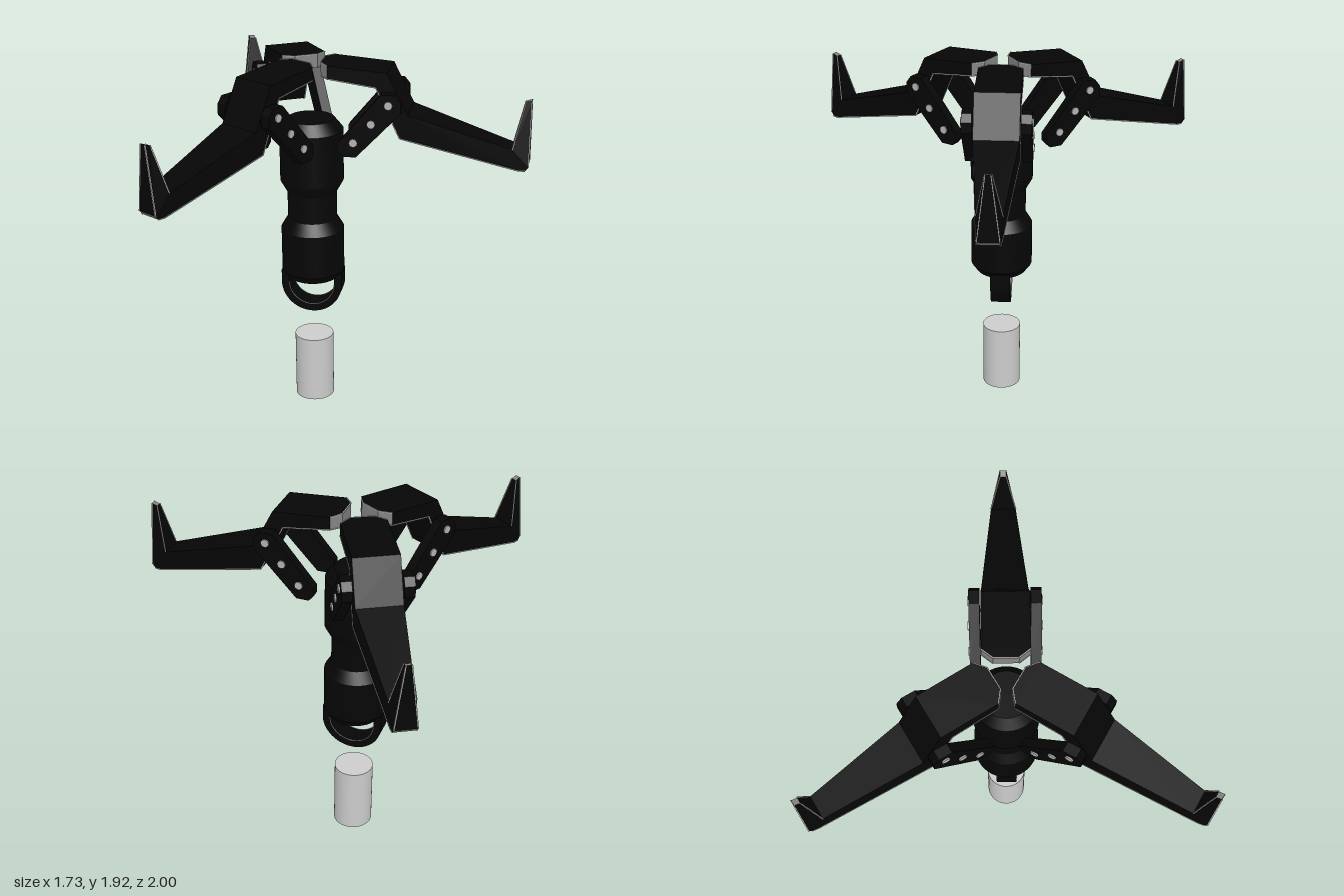
import * as THREE from 'three';
import { mergeGeometries, toCreasedNormals } from 'three/addons/utils/BufferGeometryUtils.js';

const mat = (name, color) => Object.assign(new THREE.MeshStandardMaterial({ color }), { name });

function named(name, geometry, material) {
  const mesh = new THREE.Mesh(geometry, material);
  mesh.name = name;
  return mesh;
}

// Arm stations: top r, top y, bottom r, bottom y, half width at top, half width at bottom
const STATIONS = [
  [0.066, 1.914, 0.066, 1.843, 0.06, 0.06],
  [0.11, 1.911, 0.11, 1.845, 0.115, 0.115],
  [0.41, 1.888, 0.354, 1.812, 0.115, 0.115],
  [0.515, 1.678, 0.475, 1.555, 0.115, 0.115],
  [1.035, 1.514, 1.07, 1.402, 0.063, 0.06],
  [1.035, 1.514, 1.105, 1.402, 0.063, 0.056],
  [1.035, 1.514, 1.12, 1.422, 0.063, 0.055],
  [1.09, 1.748, 1.12, 1.758, 0.016, 0.014],
];
const RINGS = STATIONS.map(([tr, ty, br, by, tw, bw]) => [
  [tr, ty, -tw], [tr, ty, tw], [br, by, bw], [br, by, -bw],
]);

// Four-sided loft; worn faces go to the second material group
function armGeometry() {
  const plain = [], worn = [];
  const quad = (list, a, b, c, d) => list.push(...a, ...b, ...c, ...a, ...c, ...d);
  const last = RINGS.length - 1;
  for (let i = 0; i < last; i++) {
    const a = RINGS[i], b = RINGS[i + 1];
    for (let j = 0; j < 4; j++) {
      const k = (j + 1) % 4;
      const isWorn = (i === 0 && j % 2 === 1) || (i === 5 && j === 2);
      quad(isWorn ? worn : plain, a[j], a[k], b[k], b[j]);
    }
  }
  const s = RINGS[0], e = RINGS[last];
  quad(worn, s[0], s[3], s[2], s[1]);
  quad(worn, e[0], e[1], e[2], e[3]);
  const geo = new THREE.BufferGeometry();
  geo.setAttribute('position', new THREE.Float32BufferAttribute([...plain, ...worn], 3));
  geo.addGroup(0, plain.length / 3, 0);
  geo.addGroup(plain.length / 3, worn.length / 3, 1);
  geo.computeVertexNormals();
  return geo;
}

// Hairline bar along an edge
function edgeBar(a, b) {
  const from = new THREE.Vector3(...a), to = new THREE.Vector3(...b);
  const geo = new THREE.BoxGeometry(0.005, 0.005, from.distanceTo(to));
  const turn = new THREE.Matrix4().lookAt(to, from, new THREE.Vector3(0, 1, 0));
  return geo.applyMatrix4(turn.setPosition(from.add(to).multiplyScalar(0.5)));
}

// Bare edges: inner end outline, lower edges and claw edges
function armEdges() {
  const bars = [];
  for (const j of [0, 1]) {
    const low = 3 - j;
    bars.push(edgeBar(RINGS[0][j], RINGS[1][j]));
    for (let i = 0; i < 5; i++) bars.push(edgeBar(RINGS[i][low], RINGS[i + 1][low]));
    bars.push(edgeBar(RINGS[6][j], RINGS[7][j]), edgeBar(RINGS[6][low], RINGS[7][low]));
  }
  bars.push(edgeBar(RINGS[0][0], RINGS[0][1]));
  return mergeGeometries(bars);
}

function extrude(shape, depth) {
  const geo = new THREE.ExtrudeGeometry(shape, { depth, bevelEnabled: false, curveSegments: 32 });
  return toCreasedNormals(geo.translate(0, 0, -depth / 2), 0.5);
}

export function createModel() {
  const black = mat('black metal', 0x060606);
  const worn = mat('worn metal', 0x858585);
  const steel = mat('bolt steel', 0xb4b4b4);
  const silver = mat('silver', 0xcccccc);

  const model = new THREE.Group();
  model.name = 'grapplingHook';
  const hook = new THREE.Group();
  hook.name = 'hookAssembly';
  hook.position.x = -0.26;
  model.add(hook);

  // Waisted handle
  const profile = [
    [0, 0.722], [0.135, 0.722], [0.166, 0.765], [0.166, 1.0], [0.13, 1.06],
    [0.13, 1.205], [0.166, 1.27], [0.166, 1.545], [0.12, 1.602], [0, 1.602],
  ].map(([x, y]) => new THREE.Vector2(x, y));
  hook.add(named('handle', toCreasedNormals(new THREE.LatheGeometry(profile, 40), 0.4), black));

  // Rope loop under the handle, with bare inner rims
  const loop = new THREE.Shape();
  loop.moveTo(0.163, 0.755);
  loop.lineTo(0.163, 0.688);
  loop.absarc(0, 0.688, 0.163, 0, -Math.PI, true);
  loop.lineTo(-0.163, 0.755);
  loop.lineTo(-0.122, 0.755);
  loop.lineTo(-0.122, 0.688);
  loop.absarc(0, 0.688, 0.122, Math.PI, Math.PI * 2, false);
  loop.lineTo(0.122, 0.755);
  hook.add(named('ropeLoop', extrude(loop, 0.107), black));
  const rimGeo = new THREE.TorusGeometry(0.122, 0.0025, 4, 32, Math.PI).rotateZ(Math.PI);
  for (const side of [-1, 1]) {
    const rim = named('loopRim', rimGeo, steel);
    rim.position.set(0, 0.688, side * 0.0535);
    hook.add(rim);
  }

  // Loose cylinder below
  const slug = named('lowerCylinder', new THREE.CylinderGeometry(0.104, 0.104, 0.367, 40), silver);
  slug.position.y = 0.1835;
  hook.add(slug);

  // Three arms, each with a pair of bolted link plates
  const armGeo = armGeometry();
  const edgeGeo = armEdges();
  const plateGeo = extrude(new THREE.Shape([
    [0.172, 1.534], [0.172, 1.493], [0.197, 1.463], [0.263, 1.463],
    [0.488, 1.702], [0.488, 1.757], [0.458, 1.795], [0.389, 1.795],
  ].map(([x, y]) => new THREE.Vector2(x, y))), 0.052);
  const boltGeo = new THREE.CylinderGeometry(0.021, 0.021, 0.012, 12).rotateX(Math.PI / 2);
  const bolts = [[0.426, 1.742], [0.34, 1.641], [0.25, 1.539]];

  for (let i = 0; i < 3; i++) {
    const arm = new THREE.Group();
    arm.name = `arm${i + 1}`;
    arm.rotation.y = (i * Math.PI * 2) / 3;
    arm.add(named('claw', armGeo, [black, worn]), named('bareEdges', edgeGeo, steel));
    for (const side of [-1, 1]) {
      const plate = named('linkPlate', plateGeo, black);
      plate.position.z = side * 0.148;
      arm.add(plate);
      for (const [r, y] of bolts) {
        const bolt = named('bolt', boltGeo, steel);
        bolt.position.set(r, y, side * 0.175);
        arm.add(bolt);
      }
    }
    hook.add(arm);
  }
  return model;
}
